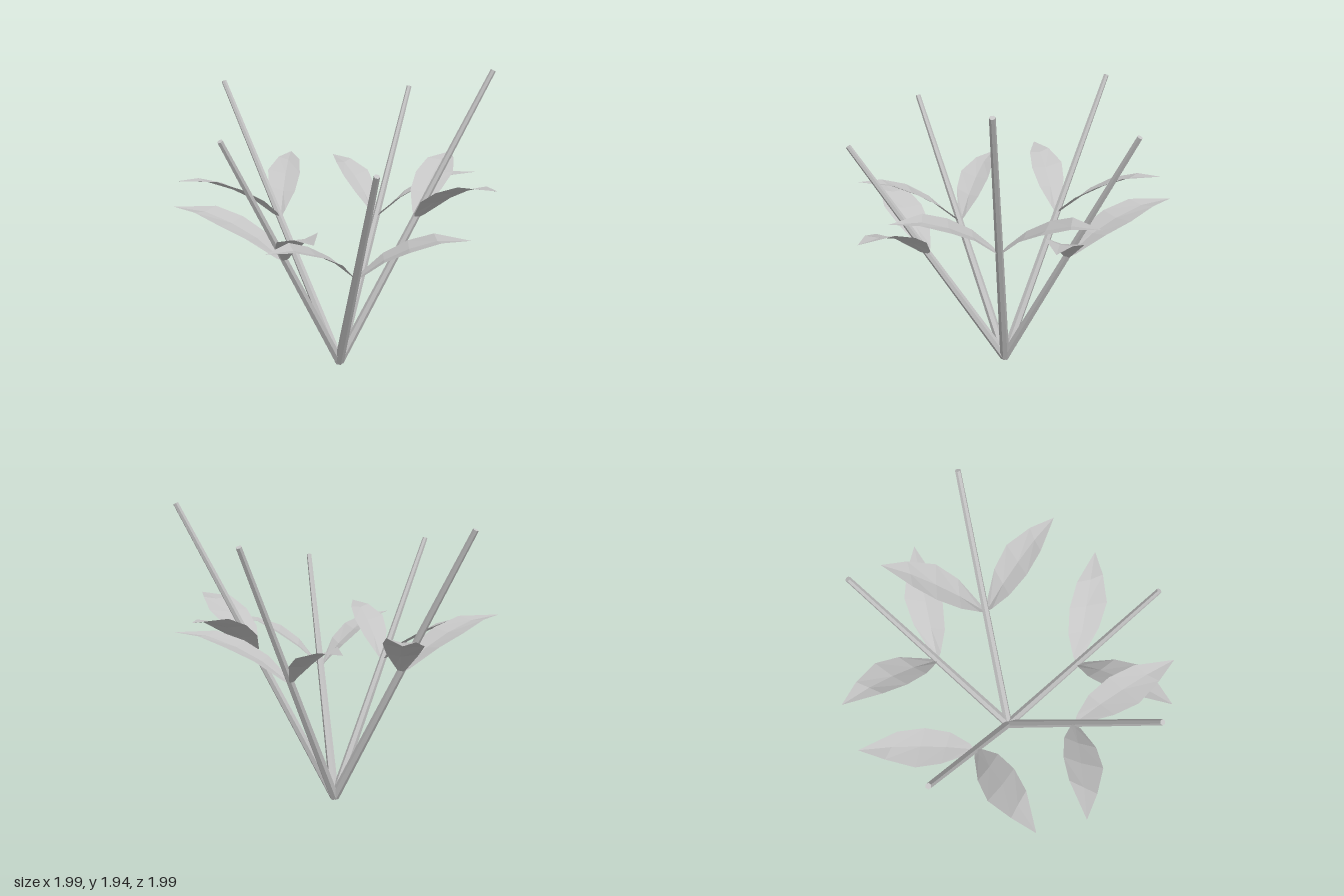
import * as THREE from 'three';

const BASE = new THREE.Vector3(-0.03, 0.01, 0.015);
const STEM_TIPS = [
  [-0.98, 1.81, 0.1],
  [-0.195, 1.74, -0.93],
  [0.62, 1.93, -0.69],
  [0.735, 1.51, 0.6],
  [-0.03, 1.65, 0.975],
];

// Leaf ribs as [along, across, up]: edge nearest the stem, shallow midrib, far edge
const LEAF_RIBS = [
  [[0.05, 0.035, 0.035], [0.04, 0, 0.035], [0.03, -0.03, 0.05]],
  [[0.21, 0.105, 0.168], [0.172, 0, 0.145], [0.135, -0.085, 0.155]],
  [[0.36, 0.128, 0.25], [0.32, 0, 0.23], [0.28, -0.105, 0.245]],
  [[0.525, 0.073, 0.308], [0.482, 0, 0.295], [0.44, -0.085, 0.31]],
];
const LEAF_TIP = [0.675, 0, 0.318];
const LEAF_SPREAD = THREE.MathUtils.degToRad(57.5);

// Leaf pointing along +x; side (+1 or -1) mirrors it across z
function leafGeometry(side) {
  const rows = [[[0, 0, 0], [0, 0, 0], [0, 0, 0]], ...LEAF_RIBS, [LEAF_TIP, LEAF_TIP, LEAF_TIP]];
  const positions = [];
  const triangle = (...corners) => {
    if (side < 0) corners.reverse();
    for (const [along, across, up] of corners) positions.push(along, up, across * side);
  };
  for (let i = 0; i < rows.length - 1; i++) {
    for (let j = 0; j < 2; j++) {
      const a = rows[i][j], b = rows[i][j + 1];
      const c = rows[i + 1][j + 1], d = rows[i + 1][j];
      if (i > 0) triangle(a, d, b);
      if (i === 0) triangle(a, d, c);
      else if (i < rows.length - 2) triangle(b, d, c);
    }
  }
  const geometry = new THREE.BufferGeometry();
  geometry.setAttribute('position', new THREE.Float32BufferAttribute(positions, 3));
  geometry.computeVertexNormals();
  return geometry;
}

export function createModel() {
  const model = new THREE.Group();
  model.name = 'plant';
  const grey = new THREE.MeshStandardMaterial({
    color: 0xc4c4c4, flatShading: true, side: THREE.DoubleSide,
  });
  grey.name = 'lightGrey';
  const leafShapes = { '1': leafGeometry(1), '-1': leafGeometry(-1) };

  for (const point of STEM_TIPS) {
    const branch = new THREE.Group();
    branch.name = 'branch';

    // Tapered stem
    const tip = new THREE.Vector3(...point);
    const direction = tip.clone().sub(BASE);
    const stem = new THREE.Mesh(
      new THREE.CylinderGeometry(0.017, 0.031, direction.length(), 6), grey);
    stem.name = 'stem';
    stem.position.copy(BASE).lerp(tip, 0.5);
    stem.quaternion.setFromUnitVectors(
      new THREE.Vector3(0, 1, 0), direction.clone().normalize());
    branch.add(stem);

    // Pair of leaves spreading from the middle of the stem
    const azimuth = Math.atan2(direction.z, direction.x);
    for (const side of [1, -1]) {
      const leaf = new THREE.Mesh(leafShapes[side], grey);
      leaf.name = 'leaf';
      leaf.position.copy(BASE).lerp(tip, 0.51);
      leaf.rotation.y = -(azimuth - side * LEAF_SPREAD);
      branch.add(leaf);
    }
    model.add(branch);
  }
  return model;
}
